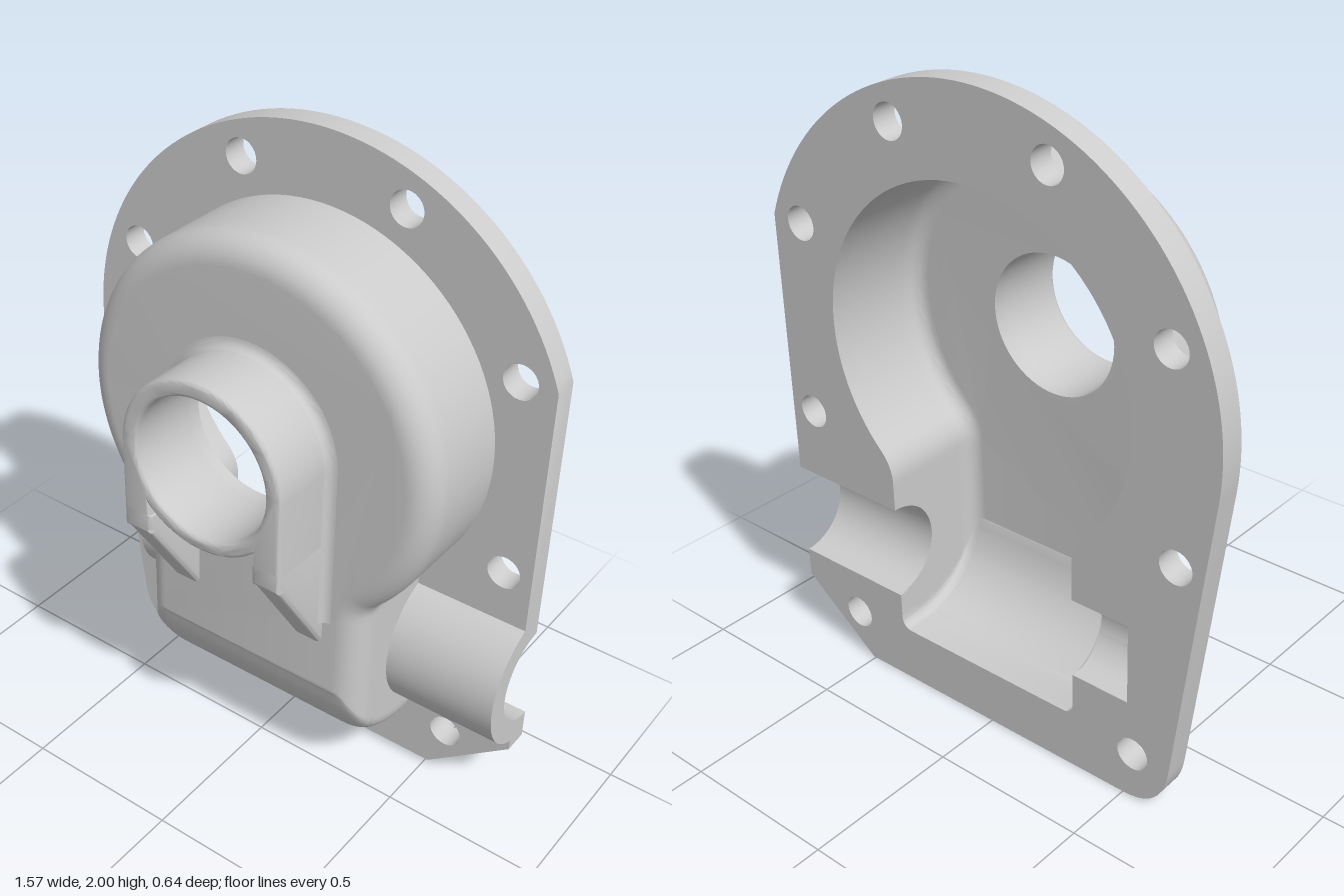
import * as THREE from 'three';
import { mergeGeometries, toCreasedNormals } from 'three/addons/utils/BufferGeometryUtils.js';

const CX = 0.025, DISC_Y = 1.19, DISC_R = 0.595; // round part of the housing
const HALF_W = 0.395, FLOOR_Y = 0.13, NECK_R = 0.08; // lower box of the housing
const SHAFT_Y = 0.46, BACK = -0.3, ROUND_Z = -0.235; // cross shaft and rounded underside
const BORE_R = { right: 0.155, left: 0.13 };
const WALL = 0.055, BOSS_Y = 1.2, HOLE_R = 0.22;

const material = new THREE.MeshStandardMaterial({ color: 0xcccccc, side: THREE.DoubleSide });
const v2 = (x, y) => new THREE.Vector2(x, y);

function arc(x, y, r, a0, a1, n) {
  return Array.from({ length: n + 1 }, (_, i) => {
    const a = a0 + (a1 - a0) * i / n;
    return v2(x + r * Math.cos(a), y + r * Math.sin(a));
  });
}

// Half of the keyhole-shaped housing outline, top to bottom, shrunk by d
function halfOutline(d) {
  const nx = HALF_W + NECK_R, ny = Math.sqrt((DISC_R + NECK_R) ** 2 - nx * nx);
  const neckA = Math.atan2(ny, nx), neckY = DISC_Y - ny;
  const rc = Math.max(0.02, 0.09 - d), w = HALF_W - d, low = FLOOR_Y + d + rc;
  const side = Array.from({ length: 31 }, (_, i) => v2(w, neckY + (low - neckY) * (i + 1) / 32));
  return [
    ...arc(0, DISC_Y, DISC_R - d, Math.PI / 2, -neckA, 40),
    ...arc(nx, neckY, NECK_R + d, Math.PI - neckA, Math.PI, 8).slice(1),
    ...side,
    ...arc(w - rc, low, rc, 0, -Math.PI / 2, 8),
    v2(0, FLOOR_Y + d),
  ];
}

function outline(d) {
  const half = halfOutline(d);
  const right = half.map(p => v2(CX + p.x, p.y));
  const left = half.slice(1, -1).reverse().map(p => v2(CX - p.x, p.y));
  return [...right, ...left];
}

// One skin of the housing: walls, rounded rim, rounded underside, pierced front
function skin(inset, back, front, bevel, inside) {
  const levels = [];
  for (let i = 0; i < 20; i++) levels.push([back + (front - bevel - back) * i / 20, inset]);
  for (let i = 0; i <= 8; i++) {
    const a = i / 8 * Math.PI / 2;
    levels.push([front - bevel + bevel * Math.sin(a), inset + bevel * (1 - Math.cos(a))]);
  }
  const R = SHAFT_Y - FLOOR_Y + 0.005 - inset;
  const rings = levels.map(([z, d]) => {
    const t = THREE.MathUtils.clamp((z - ROUND_Z) / R, 0, 0.99), s = Math.sqrt(1 - t * t);
    return outline(d).map(p =>
      new THREE.Vector3(p.x, p.y < SHAFT_Y ? SHAFT_Y - (SHAFT_Y - p.y) * s : p.y, z));
  });
  // Shaft openings: drop faces inside the bore, push edge points onto its circle
  const boreAt = p => (p.x > CX ? BORE_R.right : BORE_R.left);
  const rho = p => Math.hypot(p.y - SHAFT_Y, p.z - BACK);
  const toEdge = p => {
    const q = rho(p), k = boreAt(p) / q;
    return q > 1e-6 && k > 1
      ? new THREE.Vector3(p.x, SHAFT_Y + (p.y - SHAFT_Y) * k, BACK + (p.z - BACK) * k) : p;
  };
  const pos = [];
  for (let k = 0; k + 1 < rings.length; k++) {
    const n = rings[k].length;
    for (let i = 0; i < n; i++) {
      const j = (i + 1) % n;
      const quad = [rings[k][i], rings[k][j], rings[k + 1][j], rings[k + 1][i]];
      if (quad.every(p => rho(p) < boreAt(p))) continue;
      const [a, b, c, d] = quad.map(toEdge);
      for (const p of inside ? [a, b, c, a, c, d] : [a, c, b, a, d, c]) pos.push(p.x, p.y, p.z);
    }
  }
  const wall = new THREE.BufferGeometry();
  wall.setAttribute('position', new THREE.Float32BufferAttribute(pos, 3));
  const face = new THREE.Shape(rings[rings.length - 1].map(p => v2(p.x, p.y)));
  face.holes.push(new THREE.Path(arc(CX, BOSS_Y, HOLE_R, 0, Math.PI * 2, 64).slice(0, -1)));
  const cap = new THREE.ShapeGeometry(face).toNonIndexed();
  cap.deleteAttribute('uv');
  cap.deleteAttribute('normal');
  cap.translate(0, 0, front);
  if (inside) {
    const a = cap.attributes.position.array;
    for (let i = 0; i < a.length; i += 9)
      for (let c = 0; c < 3; c++) [a[i + c], a[i + 3 + c]] = [a[i + 3 + c], a[i + c]];
  }
  return toCreasedNormals(mergeGeometries([wall, cap]), 0.6);
}

// Mounting flange, open along the cavity and both shaft channels
function flangeGeometry() {
  const ring = halfOutline(WALL), up = [...ring].reverse();
  const w = HALF_W - WALL, r = BORE_R.right, l = BORE_R.left;
  const R = p => v2(CX + p.x, p.y), L = p => v2(CX - p.x, p.y);
  const corner = new THREE.QuadraticBezierCurve(v2(-0.5, 0), v2(-0.635, 0), v2(-0.655, 0.15));
  const shape = new THREE.Shape([
    v2(0.78, SHAFT_Y - r), v2(0.78, 0.21), v2(0.51, 0),
    ...corner.getPoints(10),
    ...arc(0.02, 1.19, 0.81, Math.PI * 188 / 180, Math.PI * 20.2 / 180, 72),
    v2(0.78, SHAFT_Y + r), v2(CX + w, SHAFT_Y + r),
    ...up.filter(p => p.y > SHAFT_Y + r + 0.002).map(R),
    ...ring.slice(1).filter(p => p.y > SHAFT_Y + l + 0.002).map(L),
    v2(CX - w, SHAFT_Y + l), v2(-0.51, SHAFT_Y + l), v2(-0.51, SHAFT_Y - l), v2(CX - w, SHAFT_Y - l),
    ...ring.filter(p => p.y < SHAFT_Y - l - 0.002).map(L),
    ...up.slice(1).filter(p => p.y < SHAFT_Y - r - 0.002).map(R),
    v2(CX + w, SHAFT_Y - r),
  ]);
  const bolts = [[-0.25, 1.845], [0.29, 1.845], [-0.63, 1.465], [0.67, 1.465],
    [-0.66, 0.845], [0.69, 0.845], [-0.53, 0.155], [0.56, 0.155]];
  for (const [x, y] of bolts)
    shape.holes.push(new THREE.Path(arc(x, y, 0.053, 0, Math.PI * 2, 28).slice(0, -1)));
  const g = new THREE.ExtrudeGeometry(shape, { depth: 0.08, bevelEnabled: false });
  return toCreasedNormals(g.translate(0, 0, BACK), 0.5);
}

// Half sleeve along x, lying on the back plane; inner radius 0 makes it solid
function halfSleeve(outer, inner, x0, x1) {
  const pts = arc(0, 0, outer, 0, Math.PI, 40);
  if (inner) pts.push(...arc(0, 0, inner, Math.PI, 0, 40));
  const g = new THREE.ExtrudeGeometry(new THREE.Shape(pts), { depth: x1 - x0, bevelEnabled: false });
  g.applyMatrix4(new THREE.Matrix4().set(
    0, 0, 1, x0,
    1, 0, 0, SHAFT_Y,
    0, 1, 0, BACK,
    0, 0, 0, 1));
  return toCreasedNormals(g, 0.5);
}

// Raised collar around the hole, with straight sides
function collarGeometry() {
  const b = 0.014, ro = 0.272 - b, ri = 0.265 - b, leg = 0.178 + b, low = 0.92;
  const a = Math.acos(leg / ri);
  const shape = new THREE.Shape([
    ...arc(CX, BOSS_Y, ro, 0, Math.PI, 48),
    v2(CX - ro, low), v2(CX - leg, low),
    ...arc(CX, BOSS_Y, ri, Math.PI + a, Math.PI * 2 - a, 24),
    v2(CX + leg, low), v2(CX + ro, low),
  ]);
  shape.holes.push(new THREE.Path(arc(CX, BOSS_Y, HOLE_R + b, 0, Math.PI * 2, 64).slice(0, -1)));
  const g = new THREE.ExtrudeGeometry(shape,
    { depth: 0.225, bevelThickness: b, bevelSize: b, bevelSegments: 4 });
  return toCreasedNormals(g.translate(0, 0, 0.32 - 0.225 - b), 0.6);
}

// Sloping rib below the collar
function ribGeometry() {
  const b = 0.014, w = 0.094;
  const side = new THREE.Shape([v2(-0.07, 0.96), v2(-0.07, 0.615), v2(-0.1, 0.615),
    v2(-0.32 + b, 0.925), v2(-0.32 + b, 0.96)]);
  const g = new THREE.ExtrudeGeometry(side,
    { depth: w - 2 * b, bevelThickness: b, bevelSize: b, bevelSegments: 4 });
  g.translate(0, 0, b - w / 2).rotateY(Math.PI / 2);
  return toCreasedNormals(g, 0.6);
}

// Concave fillet where the collar meets the housing
function filletGeometry() {
  const rings = [], f = 0.03, pos = [];
  for (let k = 0; k <= 5; k++) {
    const t = k / 5 * Math.PI / 2, r = 0.271 + f * (1 - Math.sin(t)), z = 0.1 + f * (1 - Math.cos(t));
    rings.push([v2(CX + r, 0.68), ...arc(CX, BOSS_Y, r, 0, Math.PI, 40), v2(CX - r, 0.68)]
      .map(p => [p.x, p.y, z]));
  }
  for (let k = 0; k < 5; k++)
    for (let i = 0; i + 1 < rings[k].length; i++) {
      const a = rings[k][i], b = rings[k][i + 1], c = rings[k + 1][i + 1], d = rings[k + 1][i];
      pos.push(...a, ...b, ...c, ...a, ...c, ...d);
    }
  const g = new THREE.BufferGeometry();
  g.setAttribute('position', new THREE.Float32BufferAttribute(pos, 3));
  return toCreasedNormals(g, 0.6);
}

export function createModel() {
  const group = new THREE.Group(), body = new THREE.Group();
  group.name = 'gearboxCover';
  body.name = 'casting';
  const add = (name, geometry) => {
    const mesh = new THREE.Mesh(geometry, material);
    mesh.name = name;
    mesh.position.y = -1;
    body.add(mesh);
    return mesh;
  };
  add('flange', flangeGeometry());
  add('housingOuter', skin(0, -0.24, 0.1, 0.08, false));
  add('housingCavity', skin(WALL, BACK, 0.045, 0.05, true));
  add('leftShaftSleeve', halfSleeve(0.23, BORE_R.right, 0.37, 0.78));
  add('rightShaftSleeve', halfSleeve(0.187, BORE_R.left, -0.54, -0.32));
  add('rightShaftEnd', halfSleeve(0.187, 0, -0.57, -0.51));
  add('collar', collarGeometry());
  add('collarFillet', filletGeometry());
  const bore = new THREE.CylinderGeometry(HOLE_R, HOLE_R, 0.262, 64, 1, true);
  add('collarBore', bore.rotateX(Math.PI / 2).translate(CX, BOSS_Y, 0.176));
  for (const s of [-1, 1])
    add(s > 0 ? 'leftRib' : 'rightRib', ribGeometry()).position.x = CX + s * 0.225;
  // The casting leans back very slightly
  body.position.y = 1.004;
  body.rotation.set(-0.02, 0.006, 0);
  group.add(body);
  return group;
}
